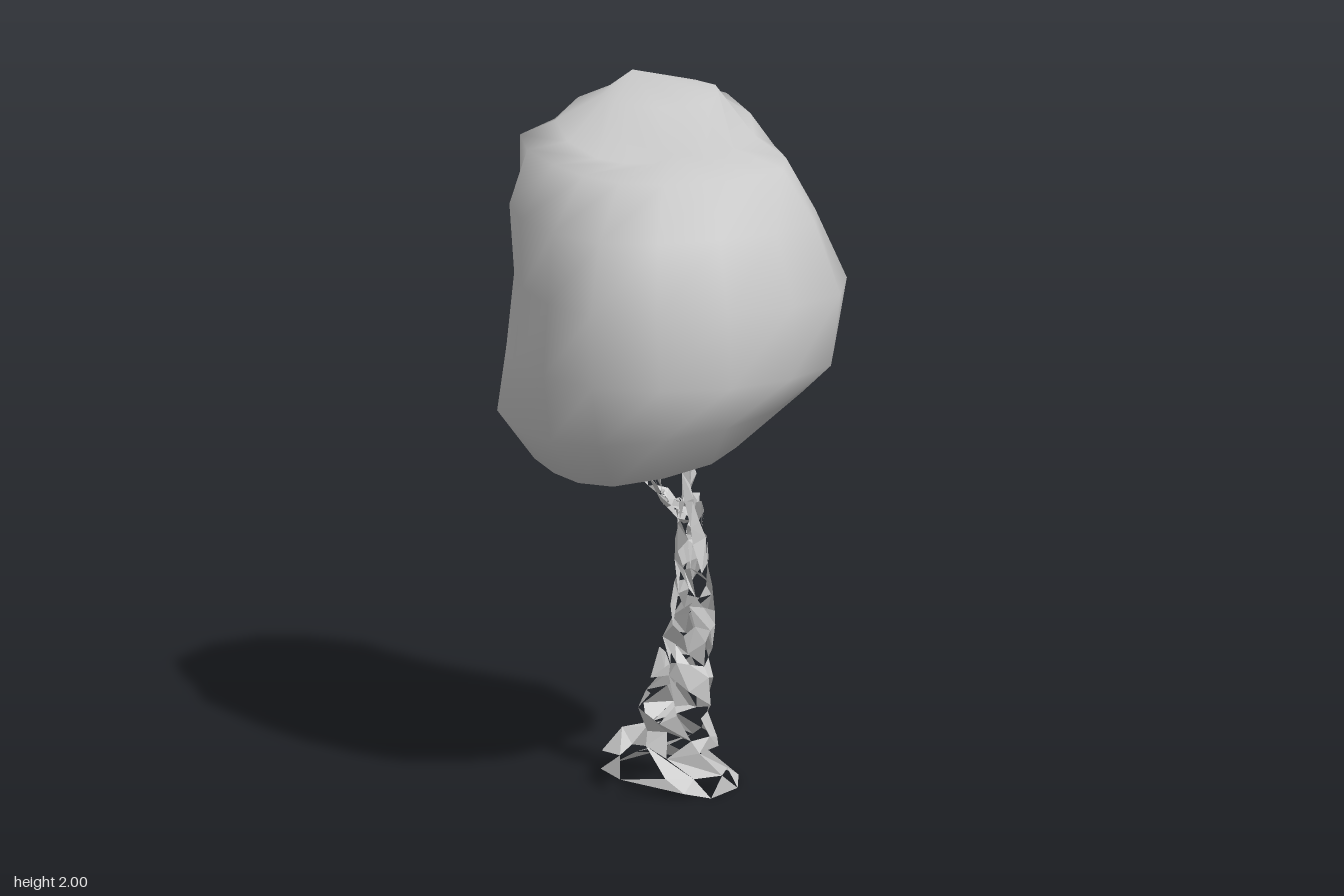
import * as THREE from 'three';

const SIDES = 16;

// Canopy cross-sections: height, slope along x and z, centre z, and eight radii
// going round from +x through +z.
const RINGS = [
  [1.01, 0.22, 0, 0, [0.14, 0.23, 0.34, 0.38, 0.35, 0.42, 0.2, 0.07]],
  [1.14, 0.15, 0, 0, [0.32, 0.41, 0.46, 0.48, 0.46, 0.52, 0.33, 0.15]],
  [1.27, 0, 0, 0, [0.42, 0.5, 0.51, 0.52, 0.47, 0.46, 0.33, 0.23]],
  [1.48, 0, 0, 0, [0.46, 0.53, 0.48, 0.53, 0.445, 0.45, 0.41, 0.31]],
  [1.68, 0, 0, 0, [0.37, 0.45, 0.41, 0.47, 0.45, 0.47, 0.47, 0.35]],
  [1.83, 0, -0.02, 0, [0.31, 0.35, 0.32, 0.34, 0.35, 0.47, 0.51, 0.36]],
  [1.85, 0.06, -0.22, 0, [0.25, 0.11, 0.04, 0.11, 0.22, 0.36, 0.42, 0.37]],
  [1.935, 0.04, -0.05, -0.24, [0.22, 0.21, 0.13, 0.1, 0.11, 0.12, 0.14, 0.17]],
];

function seeded(seed) {
  let s = seed;
  return () => {
    s = (s * 16807) % 2147483647;
    return s / 2147483647;
  };
}

// Smooth lopsided foliage mass lofted through the cross-sections
function canopyGeometry() {
  const pos = [], index = [];
  for (const [y, slopeX, slopeZ, cz, radii] of RINGS) {
    const corners = radii.map((r, k) => {
      const a = (k / 8) * Math.PI * 2;
      const x = r * Math.cos(a), z = cz + r * Math.sin(a);
      return new THREE.Vector3(x, y + slopeX * x + slopeZ * z, z);
    });
    const loop = new THREE.CatmullRomCurve3(corners, true);
    for (let j = 0; j < SIDES; j++) pos.push(...loop.getPoint(j / SIDES).toArray());
  }
  const bottom = RINGS.length * SIDES, top = bottom + 1;
  pos.push(-0.17, 0.895, -0.16, 0, 2.0, -0.32);
  const last = (RINGS.length - 1) * SIDES;
  for (let j = 0; j < SIDES; j++) {
    const n = (j + 1) % SIDES;
    for (let i = 0; i < last; i += SIDES) {
      const a = i + j, b = i + n, c = a + SIDES, d = b + SIDES;
      index.push(a, c, b, b, c, d);
    }
    index.push(bottom, j, n, top, last + n, last + j);
  }
  const geo = new THREE.BufferGeometry();
  geo.setAttribute('position', new THREE.Float32BufferAttribute(pos, 3));
  geo.setIndex(index);
  geo.computeVertexNormals();
  return geo;
}

// Broken bark: a jittered tube around a path, with some of its triangles left out
function barkGeometry(path, radiusAt, sides, levels, keep, jitter, seed) {
  const rand = seeded(seed);
  const curve = new THREE.CatmullRomCurve3(path.map((p) => new THREE.Vector3(...p)));
  const { normals, binormals } = curve.computeFrenetFrames(levels, false);
  const rows = [];
  for (let i = 0; i <= levels; i++) {
    const row = [];
    for (let j = 0; j < sides; j++) {
      const a = ((j + (i % 2) / 2 + (rand() - 0.5) * 0.7) / sides) * Math.PI * 2;
      const r = radiusAt(i / levels) * (1 + (rand() - 0.5) * jitter);
      const p = curve.getPoint(THREE.MathUtils.clamp((i + (rand() - 0.5) * 0.8) / levels, 0, 1));
      p.addScaledVector(normals[i], r * Math.cos(a)).addScaledVector(binormals[i], r * Math.sin(a));
      p.y = Math.max(p.y, 0);
      row.push(p);
    }
    rows.push(row);
  }
  const pos = [];
  const tri = (...points) => {
    if (rand() < keep) for (const p of points) pos.push(p.x, p.y, p.z);
  };
  for (let i = 0; i < levels; i++) {
    for (let j = 0; j < sides; j++) {
      const n = (j + 1) % sides;
      tri(rows[i][j], rows[i][n], rows[i + 1][j]);
      tri(rows[i][n], rows[i + 1][n], rows[i + 1][j]);
    }
  }
  const geo = new THREE.BufferGeometry();
  geo.setAttribute('position', new THREE.Float32BufferAttribute(pos, 3));
  geo.computeVertexNormals();
  return geo;
}

export function createModel() {
  const group = new THREE.Group();
  const grey = new THREE.MeshStandardMaterial({ color: 0xc8c8c8, side: THREE.DoubleSide });
  grey.name = 'plain grey';
  const add = (name, geo) => {
    const mesh = new THREE.Mesh(geo, grey);
    mesh.name = name;
    group.add(mesh);
  };

  add('canopy', canopyGeometry());

  // Trunk flares into roots at the ground and ends where the limbs fork
  const trunkPath = [[0, 0.02, 0], [0.02, 0.2, 0.01], [0.04, 0.4, 0.04], [0.04, 0.6, 0.08], [0.03, 0.84, 0.065]];
  const trunkRadius = (t) => 0.036 + 0.11 * Math.pow(1 - t, 4) + 0.045 * (1 - t);
  add('trunk', barkGeometry(trunkPath, trunkRadius, 9, 15, 0.56, 0.5, 31337));

  // Thin limbs reaching out and up into the foliage
  const branches = [
    [[0.03, 0.7, 0.05], [0.07, 0.74, -0.02], [0.11, 0.81, -0.09]],
    [[0.03, 0.78, 0.06], [-0.06, 0.87, 0.09], [-0.12, 0.98, 0.17]],
    [[0.03, 0.8, 0.05], [0.05, 0.96, 0.01], [0.17, 1.08, -0.03]],
    [[0.03, 0.8, 0.06], [0.04, 0.98, 0.07], [0.16, 1.14, 0.12]],
    [[0.02, 0.8, 0.05], [-0.05, 0.87, -0.01], [-0.12, 0.96, -0.05]],
  ];
  branches.forEach((path, k) =>
    add('branch' + (k + 1), barkGeometry(path, (t) => 0.02 - 0.01 * t, 4, 7, 0.6, 0.9, 101 + k * 977)));

  return group;
}
